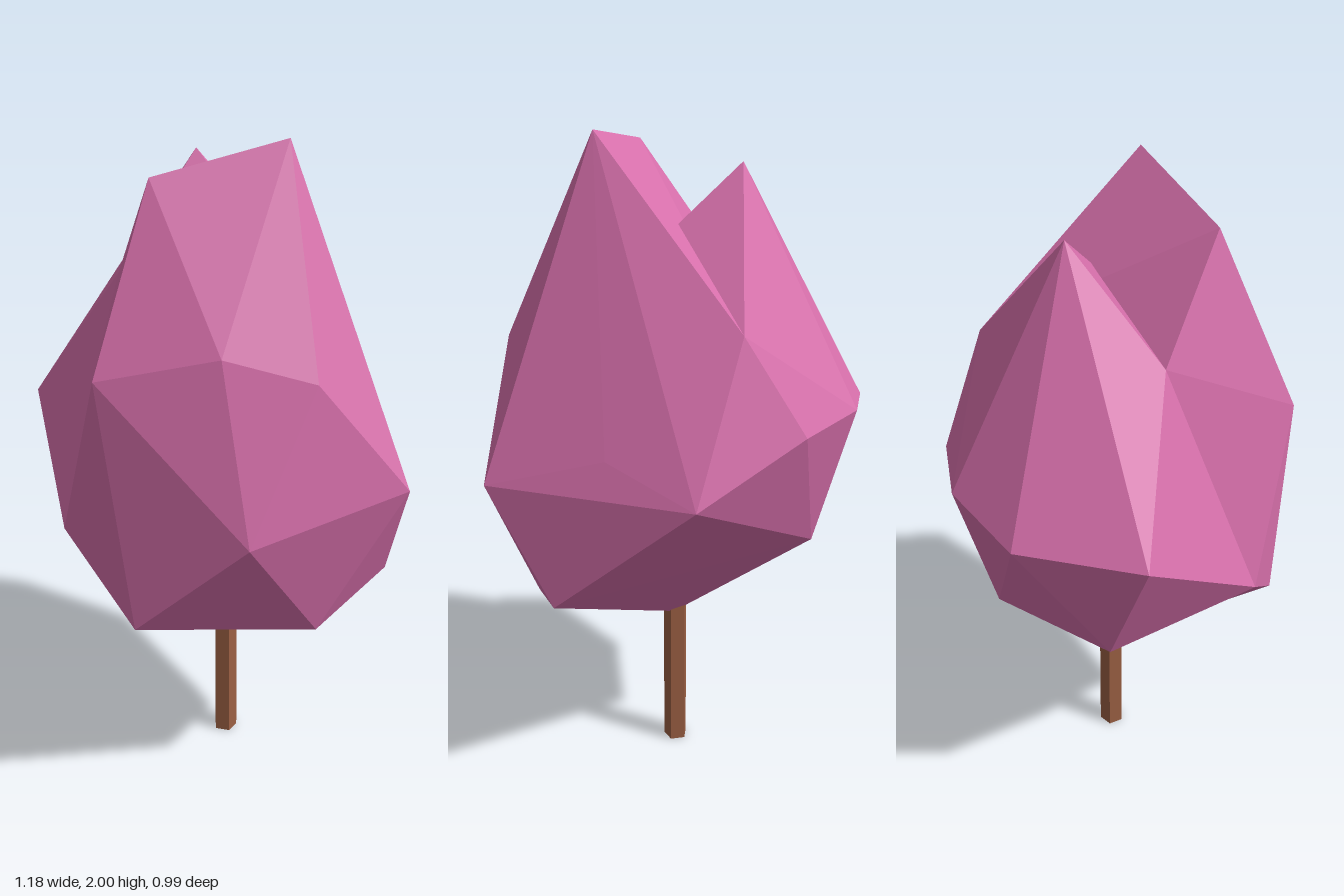
import * as THREE from 'three';
import { ConvexGeometry } from 'three/addons/geometries/ConvexGeometry.js';

// A faceted petal: the convex shell around a few corner points
function petal(name, corners, material) {
  const points = corners.map((c) => new THREE.Vector3(...c));
  const mesh = new THREE.Mesh(new ConvexGeometry(points), material);
  mesh.name = name;
  return mesh;
}

export function createModel() {
  const model = new THREE.Group();
  model.name = 'tulip';
  const pink = new THREE.MeshStandardMaterial({ color: 0xd870ac, flatShading: true });
  const brown = new THREE.MeshStandardMaterial({ color: 0x9c6044, flatShading: true });

  // Corners where the two petals meet
  const shared = [
    [0.02, 0.48, -0.02], [-0.38, 0.89, 0.35], [-0.28, 1.59, 0.09],
    [0.13, 1.51, -0.37], [0.34, 1.07, -0.39], [0.51, 0.7, 0],
  ];

  // Front petal, with the two-pointed top and a slanted back
  model.add(petal('frontPetal', [
    ...shared,
    [0.21, 2, 0.1], [-0.13, 1.91, 0.25],
    [-0.23, 1.41, 0.46], [0.11, 1.49, 0.41], [0.35, 1.41, 0.32],
    [0.59, 1.06, 0.18], [0.42, 1.17, -0.13], [0.21, 0.98, 0.49],
    [-0.13, 0.66, 0.47], [0.35, 0.6, 0.24], [-0.1, 0.52, 0.12],
  ], pink));

  // Back petal, with a single point
  model.add(petal('backPetal', [
    ...shared,
    [-0.12, 1.9, -0.15], [0.05, 1.74, -0.06],
    [-0.59, 1.16, 0], [-0.46, 1.17, -0.35], [-0.24, 1.22, -0.49], [0, 1.21, -0.495],
    [-0.2, 0.78, -0.38], [-0.43, 0.74, -0.08], [-0.1, 0.52, 0.12],
  ], pink));

  // Five-sided stem, one corner pointing back
  const stem = new THREE.Mesh(
    new THREE.CylinderGeometry(0.038, 0.038, 0.53, 5, 1, false, Math.PI), brown);
  stem.position.set(0.004, 0.265, -0.013);
  stem.name = 'stem';
  model.add(stem);

  return model;
}
